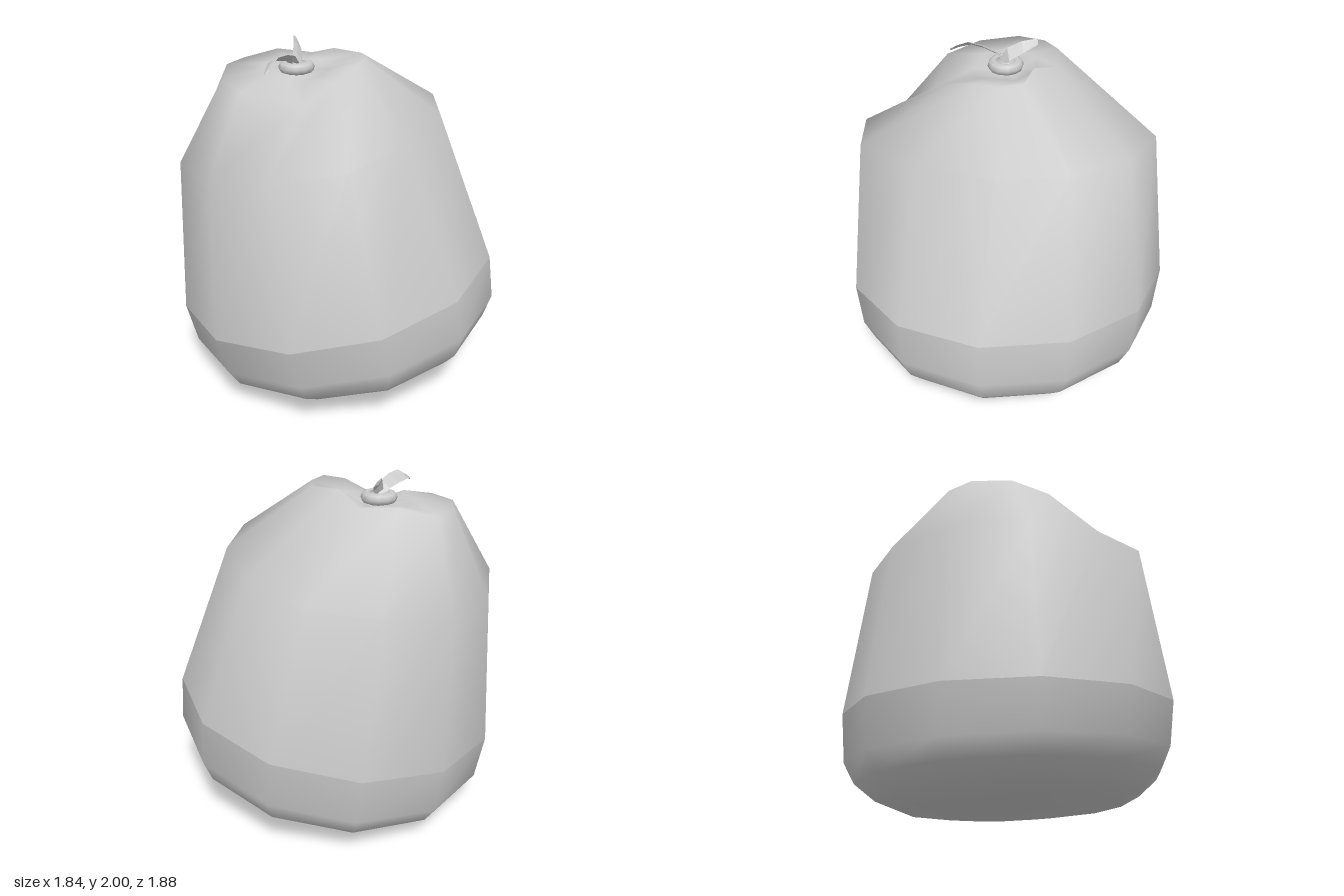
import * as THREE from 'three';

const SIDES = 12;
const TURN = THREE.MathUtils.degToRad(17);
const grey = new THREE.MeshStandardMaterial({ color: 0xcccccc, side: THREE.DoubleSide });

// Tilted elliptical ring: centre (cx, y, cz), radii (rx, rz), slopes of its plane (sx, sz)
function ring(cx, y, cz, rx, rz, sx = 0, sz = 0) {
  return Array.from({ length: SIDES }, (_, i) => {
    const a = TURN + (i / SIDES) * Math.PI * 2;
    const dx = Math.cos(a) * rx, dz = Math.sin(a) * rz;
    return [cx + dx, y + dx * sx + dz * sz, cz + dz];
  });
}

// Skin a stack of closed sections of equal length
function skin(sections, name) {
  const n = sections[0].length, index = [];
  for (let j = 0; j < sections.length - 1; j++) {
    for (let i = 0; i < n; i++) {
      const k = (i + 1) % n;
      const a = j * n + i, b = j * n + k, c = a + n, d = b + n;
      index.push(a, c, b, b, c, d);
    }
  }
  const g = new THREE.BufferGeometry();
  g.setAttribute('position', new THREE.Float32BufferAttribute(sections.flat(2), 3));
  g.setIndex(index);
  g.computeVertexNormals();
  const mesh = new THREE.Mesh(g, grey);
  mesh.name = name;
  return mesh;
}

// Thin faceted strip: each station is [x, y, z, half width], spread along the given direction
function strip(stations, across, name) {
  const t = 0.006;
  const sections = stations.map(([x, y, z, w]) =>
    [[-1, 0], [0, 1], [1, 0], [0, -1]].map(([u, v]) => [
      x + across[0] * w * u, y + across[1] * w * u + t * v, z + across[2] * w * u]));
  const mesh = skin(sections, name);
  mesh.geometry = mesh.geometry.toNonIndexed();
  mesh.geometry.computeVertexNormals();
  return mesh;
}

export function createModel() {
  const model = new THREE.Group();
  model.name = 'tiedSack';
  const NX = -0.225, NZ = 0.085;

  // Widest line, shared by the sagging base and the upper body
  const belt = ring(-0.015, 0.62, 0, 0.93, 0.965, 0.15, -0.08);

  // Rounded, slightly tilted base
  model.add(skin([
    ring(0.05, 0.045, -0.01, 0, 0),
    ring(0.05, 0.055, -0.01, 0.36, 0.36, 0.14, -0.04),
    ring(0.06, 0.09, -0.02, 0.66, 0.62, 0.14, -0.045),
    ring(0.055, 0.147, -0.03, 0.77, 0.75, 0.15, -0.055),
    ring(0.03, 0.238, -0.02, 0.87, 0.87, 0.14, -0.05),
    ring(0.02, 0.358, -0.02, 0.925, 0.93, 0.155, -0.06),
    belt,
  ], 'sackBase'));

  // Shoulder outline [x, z], lying on a tilted plane
  const shoulder = [
    [0.55, 0.29], [0.41, 0.69], [0.05, 0.87], [-0.34, 0.81], [-0.69, 0.6], [-0.87, 0.2],
    [-0.87, -0.2], [-0.66, -0.55], [-0.34, -0.79], [0.05, -0.74], [0.37, -0.52], [0.55, -0.17],
  ].map(([x, z]) => [x, 1.495 + 0.16 * (x + 0.165) - 0.065 * (z - 0.05), z]);

  // Uneven gathered edge, with a deep fold at the front right
  const gather = [
    [0.16, 1.92, 0.1], [0.13, 1.87, 0.27], [0.0, 1.75, 0.43], [-0.33, 1.8, 0.5],
    [-0.53, 1.82, 0.38], [-0.64, 1.84, 0.17], [-0.64, 1.84, 0], [-0.48, 1.885, -0.13],
    [-0.28, 1.87, -0.2], [-0.1, 1.93, -0.13], [0.07, 1.92, -0.14], [0.15, 1.92, -0.03],
  ];

  // Pleats running into the neck, lowest where the fold enters
  const pleats = ring(NX, 1.855, NZ, 0.2, 0.18).map(([x, y, z], i) =>
    [x, y + (i === 1 || i === 2 ? -0.035 : i % 2 ? 0.01 : -0.005), z]);

  // Upper body, closing into the neck under the tie
  model.add(skin([
    belt,
    shoulder,
    gather,
    pleats,
    ring(NX, 1.825, NZ, 0.075, 0.075),
    ring(NX, 1.885, NZ, 0.055, 0.055),
    ring(NX, 1.87, NZ, 0, 0),
  ], 'sackBody'));

  // Tie round the neck
  const tie = new THREE.Mesh(new THREE.TorusGeometry(0.07, 0.033, 8, 12), grey);
  tie.rotation.x = Math.PI / 2;
  tie.position.set(NX, 1.858, NZ);
  tie.name = 'neckTie';
  model.add(tie);

  // Loose ends of the tie
  model.add(strip([
    [-0.225, 1.87, 0.09, 0.025], [-0.23, 1.915, 0.14, 0.035], [-0.235, 1.935, 0.22, 0.042],
    [-0.24, 1.94, 0.31, 0.042], [-0.225, 1.915, 0.38, 0.025], [-0.22, 1.89, 0.425, 0.008],
  ], [0.85, 0.5, 0], 'frontTieEnd'));
  model.add(strip([
    [-0.22, 1.87, 0.11, 0.025], [-0.225, 1.92, 0.07, 0.04],
    [-0.265, 1.96, 0.0, 0.035], [-0.32, 1.982, -0.07, 0.018],
  ], [0.5, -0.75, -0.35], 'backTieEnd'));

  return model;
}
